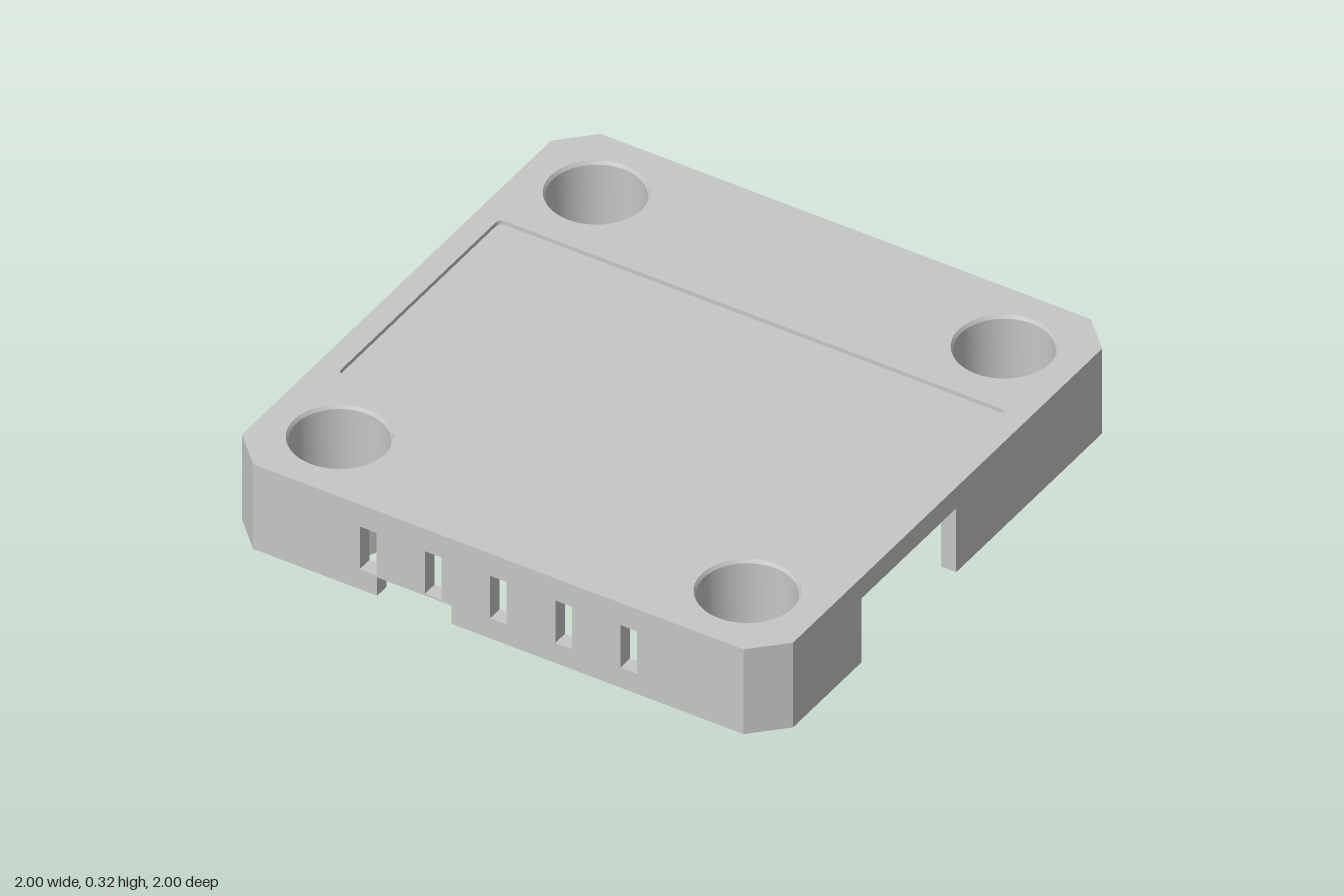
import * as THREE from 'three';
import { toCreasedNormals } from 'three/addons/utils/BufferGeometryUtils.js';

const HEIGHT = 0.325, CEILING = 0.247, INNER = 0.945, CORNER = 0.89, BOSS = 0.74;
const wallDepth = 1 - INNER;

export function createModel() {
  const model = new THREE.Group();
  model.name = 'enclosureLid';
  const grey = new THREE.MeshStandardMaterial({ color: 0xc6c6c6 });
  grey.name = 'light grey plastic';

  const add = (name, geometry) => {
    const mesh = new THREE.Mesh(geometry, grey);
    mesh.name = name;
    model.add(mesh);
    return mesh;
  };
  const polygon = (pts) => new THREE.Shape(pts.map(([x, y]) => new THREE.Vector2(x, y)));
  const extrude = (shape, depth) => toCreasedNormals(
    new THREE.ExtrudeGeometry(shape, { depth, bevelEnabled: false, curveSegments: 48 }), 0.6);
  // Extrude a plan shape upwards from y0 to y1
  const slab = (name, shape, y0, y1) =>
    add(name, extrude(shape, y1 - y0).rotateX(-Math.PI / 2).translate(0, y0, 0));

  // Top plate: chamfered square with four wells, the upper layer cut by a shallow panel recess
  const plate = () => {
    const c = CORNER;
    const shape = polygon([[c, -1], [1, -c], [1, c], [c, 1], [-c, 1], [-1, c], [-1, -c], [-c, -1]]);
    for (const x of [-BOSS, BOSS]) for (const y of [-BOSS, BOSS]) {
      shape.holes.push(new THREE.Path().absarc(x, y, 0.165, 0, Math.PI * 2, true));
    }
    return shape;
  };
  const recess = () => {
    const w = 0.92, h = 0.465, r = 0.02, p = new THREE.Path();
    p.absarc(w - r, h - r, r, 0, Math.PI / 2);
    p.absarc(r - w, h - r, r, Math.PI / 2, Math.PI);
    p.absarc(r - w, r - h, r, Math.PI, Math.PI * 1.5);
    p.absarc(w - r, r - h, r, Math.PI * 1.5, Math.PI * 2);
    p.closePath();
    return p;
  };
  slab('topPlate', plate(), CEILING, HEIGHT - 0.015);
  const upper = plate();
  upper.holes.push(recess());
  slab('topPanelFrame', upper, HEIGHT - 0.015, HEIGHT);

  // Side walls: notches [from, to, height] open at the bottom, plus vent slots
  const wall = (name, angle, notches, slots) => {
    const pts = [[-CORNER, 0]];
    for (const [a, b, h] of notches) pts.push([a, 0], [a, h], [b, h], [b, 0]);
    pts.push([CORNER, 0], [CORNER, CEILING], [-CORNER, CEILING]);
    const shape = polygon(pts);
    for (const u of slots) {
      const a = u - 0.03, b = u + 0.03;
      shape.holes.push(polygon([[a, 0.077], [a, 0.24], [b, 0.24], [b, 0.077]]));
    }
    add(name, extrude(shape, wallDepth).translate(0, 0, INNER).rotateY(angle));
  };
  const vents = [-2, -1, 0, 1, 2].map((i) => i * 0.2365);
  wall('frontWall', 0, [[-0.44, -0.17, 0.07]], vents);
  wall('backWall', Math.PI, [[-0.52, -0.1, 0.172], [0.1, 0.52, 0.172]], []);
  wall('leftWall', Math.PI / 2, [[-0.495, 0.05, 0.245]], []);
  wall('rightWall', -Math.PI / 2, [], vents);

  // Chamfered corner walls joining the sides
  const inset = CORNER - wallDepth * Math.tan(Math.PI / 8);
  for (let i = 0; i < 4; i++) {
    const shape = polygon([[inset, INNER], [INNER, inset], [1, CORNER], [CORNER, 1]]);
    slab('cornerWall', shape, 0, CEILING).rotation.y = i * Math.PI / 2;
  }

  // Screw bosses with counterbored wells
  const profile = [[0.09, 0], [0.195, 0], [0.195, CEILING + 0.01], [0.165, HEIGHT], [0.158, HEIGHT - 0.012],
    [0.158, 0.08], [0.09, 0.08], [0.09, 0]].map(([r, y]) => new THREE.Vector2(r, y));
  const bossGeometry = toCreasedNormals(new THREE.LatheGeometry(profile, 48), 0.4);
  for (const x of [-BOSS, BOSS]) for (const z of [-BOSS, BOSS]) {
    add('screwBoss', bossGeometry).position.set(x, 0, z);
  }

  // Small ribs on the inside of the right and front walls
  const rib = (x, z, w, h, d) => add('innerRib', new THREE.BoxGeometry(w, h, d)).position.set(x, h / 2, z);
  rib(-0.93, 0.47, 0.04, 0.065, 0.14);
  rib(-0.93, 0.35, 0.04, 0.04, 0.05);
  rib(-0.93, 0.12, 0.04, 0.22, 0.18);
  rib(-0.93, 0.23, 0.04, 0.075, 0.05);
  rib(0.13, 0.93, 0.1, 0.05, 0.04);
  return model;
}
